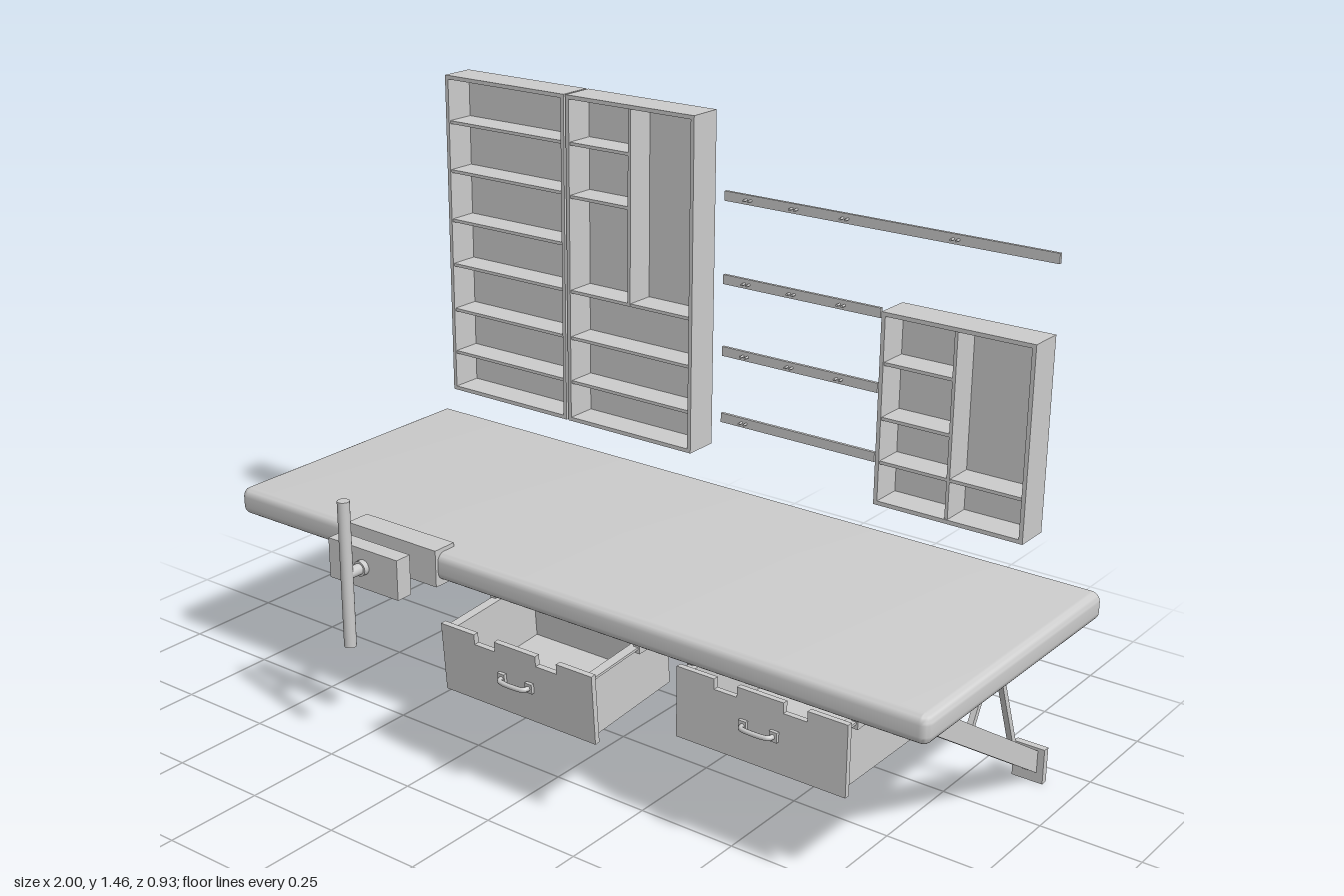
import * as THREE from 'three';
import { toCreasedNormals } from 'three/addons/utils/BufferGeometryUtils.js';

const mat = new THREE.MeshStandardMaterial({ color: 0xcccccc });
const thin = new THREE.MeshStandardMaterial({ color: 0xcccccc, side: THREE.DoubleSide });

function add(parent, name, geo, x = 0, y = 0, z = 0, material = mat) {
  const m = new THREE.Mesh(geo, material);
  m.name = name;
  m.position.set(x, y, z);
  parent.add(m);
  return m;
}

function group(parent, name, x = 0, y = 0, z = 0) {
  const g = new THREE.Group();
  g.name = name;
  g.position.set(x, y, z);
  parent.add(g);
  return g;
}

// Box given by its limits
function box(parent, name, x0, x1, y0, y1, z0, z1) {
  return add(parent, name, new THREE.BoxGeometry(x1 - x0, y1 - y0, z1 - z0),
    (x0 + x1) / 2, (y0 + y1) / 2, (z0 + z1) / 2);
}

// Cylinder lying along z
function rod(parent, name, r, x, y, z0, z1, sides = 20) {
  const geo = new THREE.CylinderGeometry(r, r, z1 - z0, sides).rotateX(Math.PI / 2);
  return add(parent, name, geo, x, y, (z0 + z1) / 2);
}

// Square bar between two points in the z-y plane
function bar(parent, name, x, a, b, w) {
  const dz = b[0] - a[0], dy = b[1] - a[1];
  const m = add(parent, name, new THREE.BoxGeometry(w, w, Math.hypot(dz, dy)),
    x, (a[1] + b[1]) / 2, (a[0] + b[0]) / 2);
  m.rotation.x = -Math.atan2(dy, dz);
}

// Worktop shell: rounded at the front and ends, open at the back
function worktopGeometry() {
  const y0 = 0.43, y1 = 0.5, zb = -0.465, zf = 0.292, r = 0.022, n = 6;
  const levels = [];
  for (let i = 0; i <= n; i++) {
    const a = (i / n) * Math.PI / 2;
    levels.push([y0 + r - r * Math.cos(a), r * Math.sin(a)]);
  }
  for (let i = n; i >= 0; i--) levels.push([y0 + y1 - levels[i][0], levels[i][1]]);
  const row = ([y, e], flat) => {
    const pts = [[-1 + r - e, zb]];
    for (const s of [-1, 1]) {
      for (let i = 0; i <= n; i++) {
        const a = ((s < 0 ? i : n - i) / n) * Math.PI / 2;
        pts.push([s * (1 - r + e * Math.cos(a)), zf - r + e * Math.sin(a)]);
      }
    }
    pts.push([1 - r + e, zb]);
    return pts.map(([x, z]) => [x, y, flat ? zb : z]);
  };
  const rows = [row(levels[0], true), ...levels.map((l) => row(l)), row(levels.at(-1), true)];
  const w = rows[0].length, index = [];
  for (let j = 0; j < rows.length - 1; j++) {
    for (let i = 0; i < w - 1; i++) {
      const a = j * w + i, b = a + 1, c = a + w, d = c + 1;
      index.push(a, b, d, a, d, c);
    }
  }
  const geo = new THREE.BufferGeometry();
  geo.setAttribute('position', new THREE.Float32BufferAttribute(rows.flat(2), 3));
  geo.setIndex(index);
  return toCreasedNormals(geo, 0.7);
}

// Open-fronted wall cabinet; shelves are [x0, x1, y], dividers are [x, y0, y1]
function cabinet(parent, x0, x1, y0, y1, shelves, dividers) {
  const g = group(parent, 'wallCabinet');
  const t = 0.01, zb = -0.445, zf = -0.355;
  box(g, 'cabinetSide', x0, x0 + t, y0, y1, zb, zf);
  box(g, 'cabinetSide', x1 - t, x1, y0, y1, zb, zf);
  box(g, 'cabinetBottom', x0 + t, x1 - t, y0, y0 + t, zb, zf);
  box(g, 'cabinetTop', x0 + t, x1 - t, y1 - t, y1, zb, zf);
  box(g, 'backPanel', x0 + t, x1 - t, y0 + t, y1 - t, zb + 0.004, zb + 0.01);
  for (const [a, b, y] of shelves) {
    box(g, 'shelf', a, b, y - 0.004, y + 0.004, zb + 0.01, zf - 0.004);
    const count = Math.max(2, Math.round((b - a) / 0.08));
    for (let i = 0; i < count; i++) {
      const x = a + (b - a) * (i + 0.5) / count;
      for (const d of [-0.008, 0.008]) rod(g, 'shelfScrew', 0.003, x + d, y, zb + 0.002, zb + 0.005, 8);
    }
  }
  for (const [x, a, b] of dividers) box(g, 'divider', x - 0.004, x + 0.004, a, b, zb + 0.01, zf - 0.003);
}

// Drawer with its origin at the lower front edge
function drawer(parent, x, y, z, tilt, h) {
  const g = group(parent, 'drawer', x, y, z);
  g.rotation.x = tilt;
  const w = 0.22, t = 0.008, len = 0.3, hw = 0.2;
  const s = new THREE.Shape();
  s.moveTo(-w, 0);
  s.lineTo(w, 0);
  s.lineTo(w, h);
  for (const c of [0.09, -0.09]) {
    s.lineTo(c + 0.03, h);
    s.lineTo(c + 0.03, h - 0.025);
    s.lineTo(c - 0.03, h - 0.025);
    s.lineTo(c - 0.03, h);
  }
  s.lineTo(-w, h);
  add(g, 'drawerFront', new THREE.ExtrudeGeometry(s, { depth: 0.014, bevelEnabled: false }), 0, 0, -0.014);
  box(g, 'drawerBottom', -hw, hw, 0.004, 0.012, -len, -0.014);
  box(g, 'drawerBack', -hw, hw, 0.012, h - 0.01, -len, -len + t);
  for (const k of [-1, 1]) {
    const c = k * (hw - t / 2);
    box(g, 'drawerSide', c - t / 2, c + t / 2, 0.012, h - 0.01, -len + t, -0.014);
    box(g, 'drawerFlange', k * (hw + 0.006) - 0.01, k * (hw + 0.006) + 0.01, h - 0.016, h - 0.01, -len, -0.014);
    box(g, 'handlePost', k * 0.04 - 0.01, k * 0.04 + 0.01, 0.076, 0.1, 0, 0.008);
  }
  const path = new THREE.CatmullRomCurve3([[-0.04, 0.004], [-0.036, 0.018], [-0.024, 0.022],
    [0.024, 0.022], [0.036, 0.018], [0.04, 0.004]].map(([a, b]) => new THREE.Vector3(a, 0.088, b)));
  add(g, 'drawerHandle', new THREE.TubeGeometry(path, 24, 0.006, 8));
  // Slides under the worktop
  for (const k of [-1, 1]) {
    const c = x + k * 0.212;
    box(parent, 'drawerSlide', c - 0.008, c + 0.008, 0.395, 0.43, -0.02, 0.25);
  }
}

// Slanted leg with two braces and a slotted wall foot
function leg(parent, x) {
  const g = group(parent, 'wallLeg', x);
  const s = new THREE.Shape([[-0.225, 0.43], [0.428, 0.02], [0.425, 0.08], [-0.13, 0.43]]
    .map(([a, b]) => new THREE.Vector2(a, b)));
  const beam = new THREE.ExtrudeGeometry(s, { depth: 0.046, bevelEnabled: false });
  add(g, 'legBeam', beam.translate(0, 0, -0.023).rotateY(Math.PI / 2));
  bar(g, 'brace', 0, [-0.213, 0.432], [-0.115, 0.25], 0.014);
  bar(g, 'brace', 0, [-0.213, 0.432], [-0.335, 0.12], 0.014);
  box(g, 'footPlate', -0.04, 0.04, 0, 0.09, -0.428, -0.42);
  for (const c of [-0.035, -0.012, 0.012, 0.035]) box(g, 'footRib', c - 0.005, c + 0.005, 0.01, 0.08, -0.438, -0.428);
  for (const y of [0, 0.08]) box(g, 'footEdge', -0.04, 0.04, y, y + 0.01, -0.438, -0.428);
}

// Front vise with a long upright handle
function vise(parent) {
  const g = group(parent, 'vise');
  const x = -0.468, y = 0.464;
  box(g, 'fixedJaw', -0.61, -0.325, 0.417, 0.51, 0.235, 0.3);
  box(g, 'movingJaw', -0.58, -0.358, 0.408, 0.51, 0.352, 0.396);
  rod(g, 'viseScrew', 0.014, x, y, 0.25, 0.45);
  rod(g, 'screwCollar', 0.019, x, y, 0.396, 0.41);
  add(g, 'viseHandle', new THREE.CylinderGeometry(0.015, 0.015, 0.37, 24), x, 0.465, 0.45);
}

export function createModel() {
  const model = new THREE.Group();
  model.name = 'workbench';
  add(model, 'worktop', worktopGeometry(), 0, 0, 0, thin);

  // Wall cabinets
  const rows = [0.722, 0.84, 0.963];
  cabinet(model, -0.853, -0.463, 0.617, 1.463,
    [...rows, 1.083, 1.214, 1.342].map((y) => [-0.843, -0.473, y]), []);
  cabinet(model, -0.457, -0.067, 0.617, 1.463,
    [...rows.map((y) => [-0.447, -0.077, y]), [-0.447, -0.262, 1.208], [-0.447, -0.262, 1.342]],
    [[-0.262, 0.963, 1.453]]);
  cabinet(model, 0.463, 0.853, 0.617, 1.087,
    [[0.473, 0.843, 0.722], [0.473, 0.655, 0.83], [0.473, 0.655, 0.963]],
    [[0.655, 0.627, 1.077]]);

  // Tool rails with small pegs
  for (const [y, end, pegs] of [[1.262, 0.855, [0.04, 0.17, 0.31, 0.6]], [1.055, 0.415, [0.04, 0.17, 0.31]],
    [0.872, 0.415, [0.04, 0.17, 0.31]], [0.699, 0.415, [0.04]]]) {
    const g = group(model, 'toolRail');
    box(g, 'rail', -0.03, end, y - 0.012, y + 0.012, -0.439, -0.431);
    for (const p of pegs) {
      for (const d of [-0.007, 0.007]) rod(g, 'peg', 0.003, p + d, y, -0.431, -0.418, 8);
    }
  }

  // The left drawer is shut, the other is pulled out and sags a little
  drawer(model, 0.592, 0.25, 0.288, 0, 0.172);
  drawer(model, 0.02, 0.235, 0.407, 0.08, 0.172);
  leg(model, -0.86);
  leg(model, 0.876);
  vise(model);
  return model;
}
